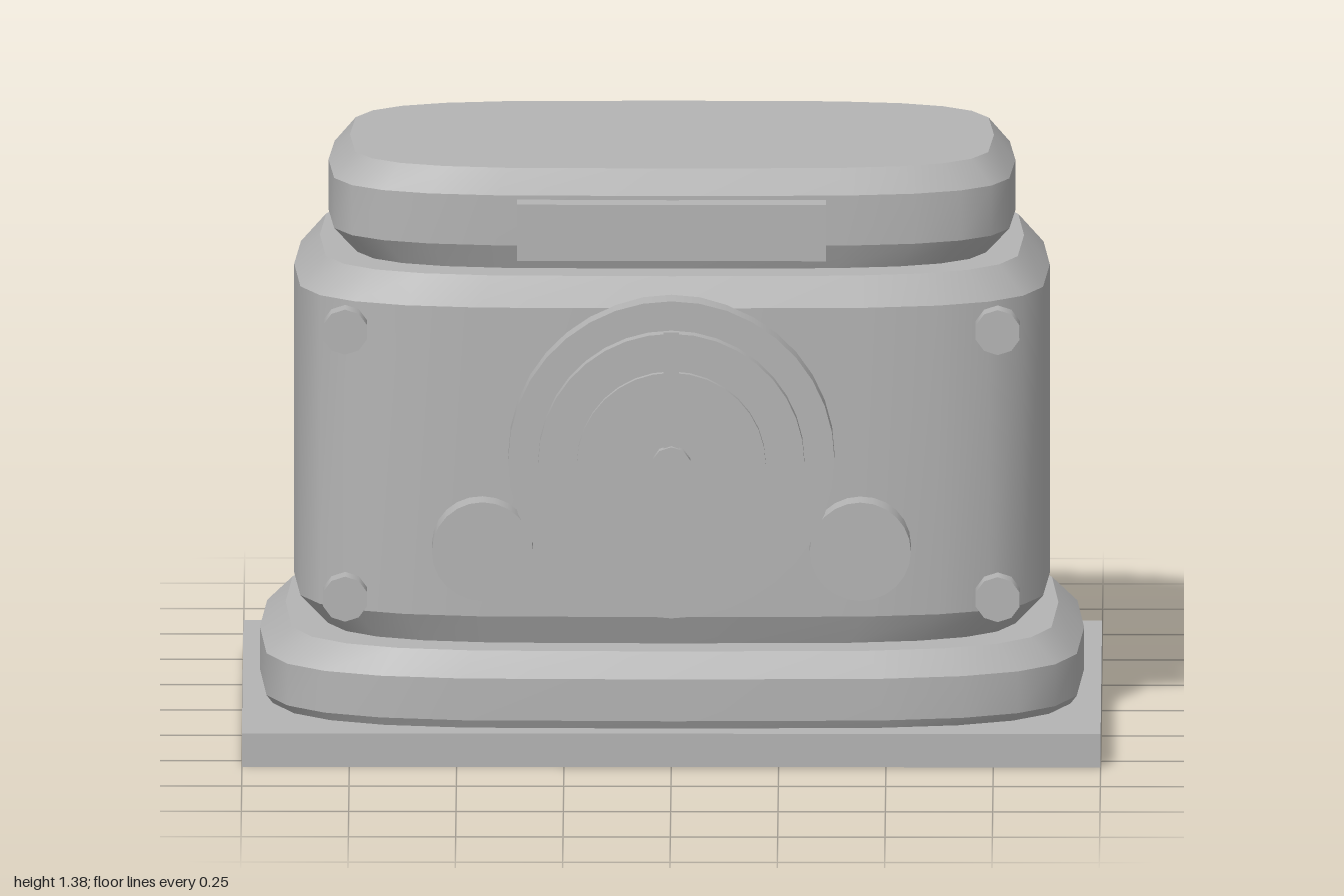
import * as THREE from 'three';

const grey = new THREE.MeshStandardMaterial({ color: 0xb4b4b4 });
grey.name = 'plain grey';

// Rounded-rectangle (superellipse) loft; each profile row is [y, halfWidth, halfDepth].
// Rows are doubled between bands so horizontal edges stay sharp.
function loft(rows, sides = 24) {
  const positions = [], index = [];
  const ring = ([y, a, b]) => {
    const start = positions.length / 3;
    for (let i = 0; i < sides; i++) {
      const t = (i / sides) * Math.PI * 2;
      const c = Math.cos(t), s = Math.sin(t);
      positions.push(a * Math.sign(c) * Math.sqrt(Math.abs(c)), y, b * Math.sign(s) * Math.sqrt(Math.abs(s)));
    }
    return start;
  };
  for (let r = 0; r < rows.length - 1; r++) {
    const lo = ring(rows[r]), hi = ring(rows[r + 1]);
    for (let i = 0; i < sides; i++) {
      const j = (i + 1) % sides;
      index.push(lo + i, hi + i, lo + j, lo + j, hi + i, hi + j);
    }
  }
  // flat caps
  const bottom = ring(rows[0]), top = ring(rows[rows.length - 1]);
  for (let i = 1; i < sides - 1; i++) {
    index.push(bottom, bottom + i, bottom + i + 1, top, top + i + 1, top + i);
  }
  const g = new THREE.BufferGeometry();
  g.setAttribute('position', new THREE.Float32BufferAttribute(positions, 3));
  g.setIndex(index);
  g.computeVertexNormals();
  return g;
}

export function createModel() {
  const model = new THREE.Group();
  model.name = 'dialClock';

  const add = (name, geometry) => {
    const m = new THREE.Mesh(geometry, grey);
    m.name = name;
    model.add(m);
  };
  const box = (name, x0, x1, y0, y1, z0, z1) => add(name,
    new THREE.BoxGeometry(x1 - x0, y1 - y0, z1 - z0)
      .translate((x0 + x1) / 2, (y0 + y1) / 2, (z0 + z1) / 2));
  // disc facing the front
  const disc = (name, x, y, r, z0, z1, sides) => add(name,
    new THREE.CylinderGeometry(r, r, z1 - z0, sides)
      .rotateX(Math.PI / 2).translate(x, y, (z0 + z1) / 2));

  // stacked casing
  box('basePlate', -1, 1, 0, 0.08, -0.56, 0.56);
  add('plinth', loft([[0.08, 0.945, 0.51], [0.1, 0.96, 0.52], [0.2, 0.96, 0.52], [0.26, 0.9, 0.49]]));
  add('body', loft([[0.26, 0.815, 0.41], [0.33, 0.88, 0.44], [1.07, 0.88, 0.44], [1.14, 0.82, 0.41]]));
  add('lid', loft([[1.14, 0.745, 0.335], [1.2, 0.8, 0.36], [1.32, 0.8, 0.36], [1.38, 0.75, 0.335]]));
  box('lidPlaque', -0.36, 0.36, 1.175, 1.31, 0.355, 0.405);

  // dial
  disc('dialRim', 0, 0.72, 0.38, 0.425, 0.493, 36);
  disc('dialFace', 0, 0.72, 0.31, 0.48, 0.525, 36);
  disc('dialCentre', 0, 0.72, 0.22, 0.51, 0.54, 32);
  box('needle', -0.018, 0.018, 0.74, 1.04, 0.536, 0.551);
  disc('needleHub', 0, 0.72, 0.047, 0.535, 0.562, 10);

  // knobs and bolts
  for (const side of [-1, 1]) {
    disc('knob', side * 0.44, 0.5, 0.118, 0.42, 0.493, 24);
    for (const y of [0.38, 1.02]) disc('bolt', side * 0.76, y, 0.054, 0.423, 0.47, 10);
  }
  return model;
}
